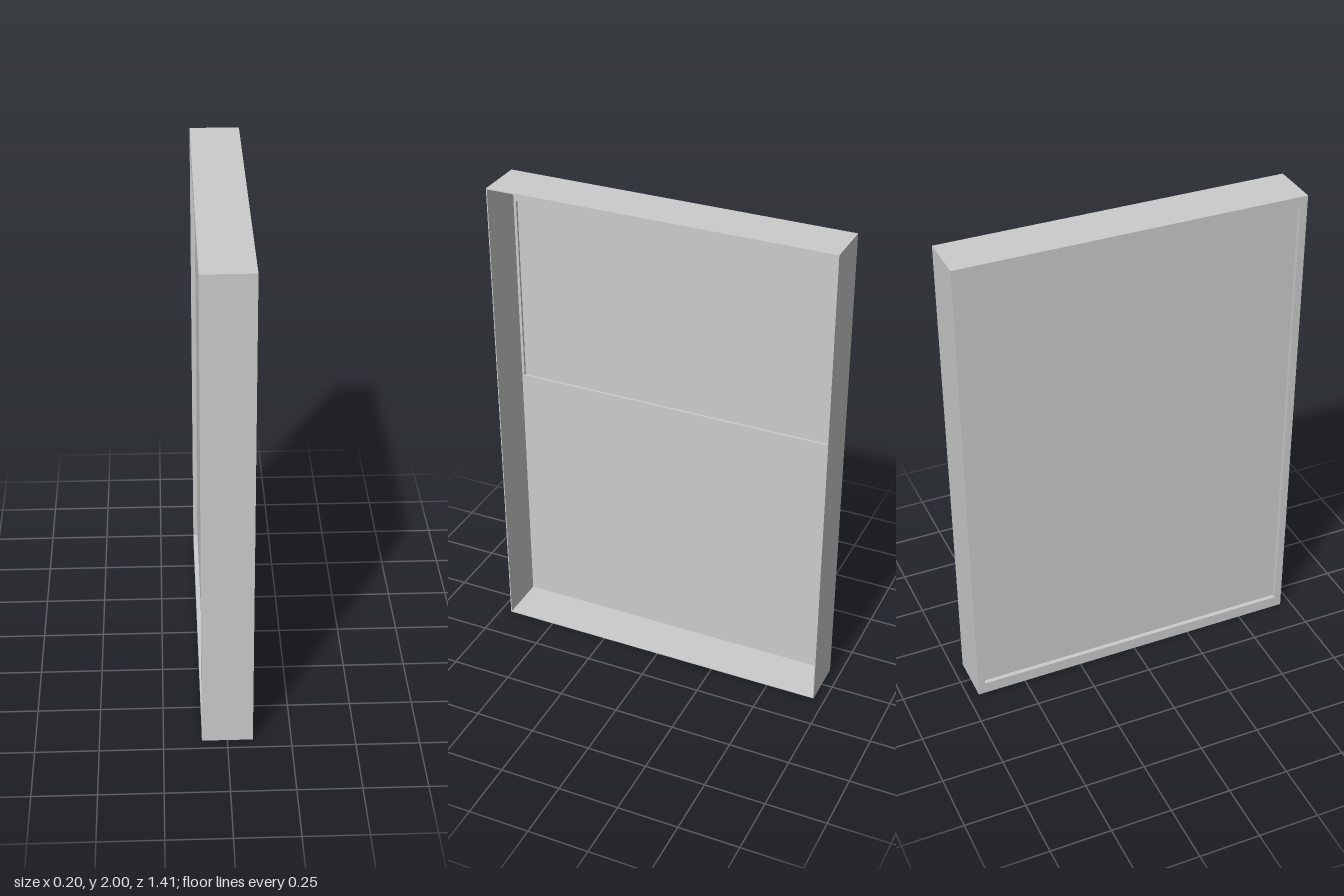
import * as THREE from 'three';

const T = 0.004; // sheet thickness

export function createModel() {
  const model = new THREE.Group();
  const material = new THREE.MeshStandardMaterial({ color: 0xcccccc, flatShading: true });

  // Box given by its limits on each axis
  function block(name, [x0, x1], [y0, y1], [z0, z1]) {
    const mesh = new THREE.Mesh(new THREE.BoxGeometry(x1 - x0, y1 - y0, z1 - z0), material);
    mesh.position.set((x0 + x1) / 2, (y0 + y1) / 2, (z0 + z1) / 2);
    mesh.name = name;
    model.add(mesh);
  }

  // Rectangular ring around the panel, extruded along x
  function ring(name, [x0, x1], outer, inner) {
    const corners = ({ z, y0, y1 }) =>
      [[-z, y0], [z, y0], [z, y1], [-z, y1]].map(([a, b]) => new THREE.Vector2(a, b));
    const shape = new THREE.Shape(corners(outer));
    shape.holes.push(new THREE.Path(corners(inner)));
    const geometry = new THREE.ExtrudeGeometry(shape, { depth: x1 - x0, bevelEnabled: false });
    geometry.rotateY(Math.PI / 2);
    geometry.translate(x0, 0, 0);
    const mesh = new THREE.Mesh(geometry, material);
    mesh.name = name;
    model.add(mesh);
  }

  const outside = { z: 0.705, y0: 0, y1: 2 };
  const opening = { z: 0.675, y0: 0.05, y1: 1.95 };
  const grow = ({ z, y0, y1 }, d) => ({ z: z + d, y0: y0 - d, y1: y1 + d });

  // Thin deep casing, its narrow flange and the return lip around the opening
  ring('casing', [-0.1, 0.1], outside, grow(outside, -T));
  ring('flange', [-0.1, -0.1 + T], grow(outside, -T), opening);
  ring('lip', [-0.1, -0.07], grow(opening, T / 2), opening);

  // Panel: solid lower part and top rail, thinner pane set back between them
  const across = [-0.675, 0.675];
  block('lowerPanel', [-0.082, -0.07], [0.05, 1.11], across);
  block('topRail', [-0.082, -0.07], [1.885, 1.95], across);
  block('upperPane', [-0.082, -0.08], [1.11, 1.885], across);

  return model;
}
